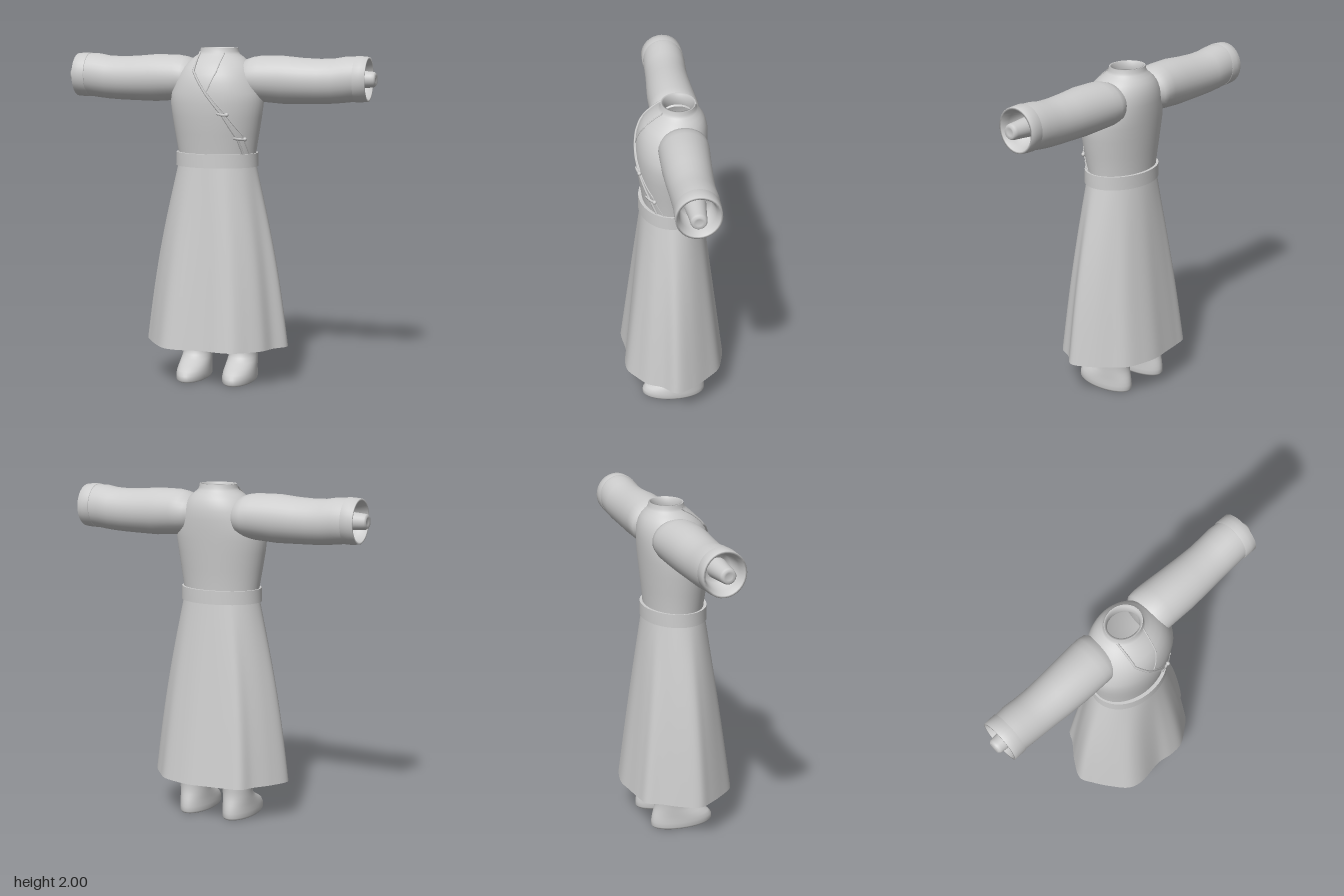
import * as THREE from 'three';

const cloth = new THREE.MeshStandardMaterial({ color: 0xcccccc, side: THREE.DoubleSide });
cloth.name = 'plain grey';

// Joins closed rings of points into one smooth skin
function loft(name, rings) {
  const n = rings[0].length, pos = [], index = [];
  rings.forEach(r => r.forEach(p => pos.push(p.x, p.y, p.z)));
  for (let i = 0; i < rings.length - 1; i++) {
    for (let j = 0; j < n; j++) {
      const k = (j + 1) % n, a = i * n, b = a + n;
      index.push(a + j, a + k, b + j, a + k, b + k, b + j);
    }
  }
  const geo = new THREE.BufferGeometry();
  geo.setAttribute('position', new THREE.Float32BufferAttribute(pos, 3));
  geo.setIndex(index);
  geo.computeVertexNormals();
  const mesh = new THREE.Mesh(geo, cloth);
  mesh.name = name;
  return mesh;
}

// Ellipse through four extremes, as [u, v] pairs
function oval(u0, u1, v0, v1, n = 48) {
  return Array.from({ length: n }, (_, j) => {
    const a = j / n * Math.PI * 2;
    return [(u0 + u1) / 2 + (u1 - u0) / 2 * Math.sin(a), (v0 + v1) / 2 + (v1 - v0) / 2 * Math.cos(a)];
  });
}

// Level ring: height, half width, front z, back z
const levelRing = ([y, rx, zf, zb], cx = 0) =>
  oval(cx - rx, cx + rx, zb, zf).map(([x, z]) => new THREE.Vector3(x, y, z));

// Upright ring across an arm: x, top y, bottom y, front z, back z
const armRing = ([x, yt, yb, zf, zb], side) =>
  oval(zb, zf, yb, yt, 32).map(([z, y]) => new THREE.Vector3(x * side, y, z));

const torsoRows = [
  [1.33, 0.235, 0.17, -0.165], [1.40, 0.24, 0.177, -0.167], [1.5, 0.257, 0.192, -0.177],
  [1.6, 0.273, 0.205, -0.187], [1.68, 0.283, 0.21, -0.195], [1.74, 0.277, 0.208, -0.2],
  [1.8, 0.255, 0.2, -0.204], [1.85, 0.235, 0.183, -0.203], [1.89, 0.208, 0.158, -0.194],
  [1.92, 0.18, 0.127, -0.181], [1.945, 0.15, 0.1, -0.163], [1.965, 0.122, 0.076, -0.147],
  [1.98, 0.115, 0.067, -0.14], [2.0, 0.112, 0.062, -0.136],
];
const neckLining = [[2.0, 0.098, 0.05, -0.126], [1.96, 0.092, 0.046, -0.121], [1.93, 0.1, 0.05, -0.125]];

// Front surface of the torso at x, y
function torsoFront(x, y) {
  const i = Math.max(1, torsoRows.findIndex(r => r[0] >= y));
  const a = torsoRows[i - 1], b = torsoRows[i], t = (y - a[0]) / (b[0] - a[0]);
  const [rx, zf, zb] = [1, 2, 3].map(k => a[k] + (b[k] - a[k]) * t);
  return (zf + zb) / 2 + (zf - zb) / 2 * Math.sqrt(Math.max(0, 1 - (x / rx) ** 2));
}

// Cord laid over the chest along x, y points
function cord(name, pts, radius, lift) {
  const path = [];
  for (let i = 0; i < pts.length - 1; i++) {
    for (let s = 0; s < 8; s++) {
      const x = THREE.MathUtils.lerp(pts[i][0], pts[i + 1][0], s / 8);
      const y = THREE.MathUtils.lerp(pts[i][1], pts[i + 1][1], s / 8);
      path.push(new THREE.Vector3(x, y, torsoFront(x, y) + lift));
    }
  }
  const geo = new THREE.TubeGeometry(new THREE.CatmullRomCurve3(path), path.length * 2, radius, 6);
  const mesh = new THREE.Mesh(geo, cloth);
  mesh.name = name;
  return mesh;
}

// Skirt spreading from a waist oval to a wavy hem
function makeSkirt() {
  const hem = [
    [0, 0.29], [0.1, 0.305], [0.19, 0.298], [0.27, 0.245], [0.34, 0.185], [0.38, 0.1], [0.445, 0.02],
    [0.4, -0.09], [0.32, -0.19], [0.25, -0.26], [0.15, -0.295], [0.05, -0.312], [-0.06, -0.3],
    [-0.18, -0.285], [-0.27, -0.265], [-0.315, -0.19], [-0.39, -0.09], [-0.44, 0.02], [-0.4, 0.1],
    [-0.33, 0.2], [-0.25, 0.285], [-0.17, 0.308],
  ].map(([x, z]) => new THREE.Vector3(x, 0, z));
  const edge = new THREE.CatmullRomCurve3(hem, true).getPoints(132).slice(0, -1);
  const rings = [];
  for (let i = 0; i <= 14; i++) {
    const t = i / 14, tx = t + 0.1 * Math.sin(Math.PI * t);
    rings.push(edge.map(p => {
      const a = Math.atan2(p.x / 0.44, p.z / 0.31);
      return new THREE.Vector3(
        THREE.MathUtils.lerp(0.236 * Math.sin(a), p.x, tx),
        1.32 - 1.09 * t,
        THREE.MathUtils.lerp(0.005 + 0.18 * Math.cos(a), p.z, t));
    }));
  }
  return loft('skirt', rings);
}

// Sleeve, turned-in cuff and wrist for one side
function makeArm(side) {
  const arm = new THREE.Group();
  arm.name = side > 0 ? 'leftArm' : 'rightArm';
  const add = (name, rows) => arm.add(loft(name, rows.map(r => armRing(r, side))));
  add('sleeve', [
    [0.13, 1.90, 1.73, 0.06, -0.15], [0.17, 1.935, 1.70, 0.09, -0.183], [0.21, 1.948, 1.69, 0.1, -0.188],
    [0.26, 1.956, 1.685, 0.1, -0.186], [0.4, 1.957, 1.675, 0.1, -0.176], [0.52, 1.946, 1.677, 0.093, -0.17],
    [0.62, 1.942, 1.679, 0.086, -0.166], [0.7, 1.945, 1.683, 0.083, -0.168], [0.77, 1.957, 1.69, 0.082, -0.17],
    [0.835, 1.957, 1.698, 0.08, -0.163],
  ]);
  add('cuff', [
    [0.83, 1.955, 1.70, 0.08, -0.162], [0.831, 1.962, 1.694, 0.086, -0.169], [0.87, 1.96, 1.695, 0.086, -0.168],
    [0.905, 1.957, 1.698, 0.086, -0.166], [0.905, 1.945, 1.71, 0.074, -0.154], [0.86, 1.93, 1.725, 0.06, -0.14],
    [0.78, 1.91, 1.745, 0.045, -0.12], [0.775, 1.84, 1.82, -0.025, -0.045],
  ]);
  add('wrist', [[0.77, 0.06], [0.87, 0.05], [0.925, 0.046], [0.94, 0.043], [0.95, 0.034], [0.945, 0.02], [0.945, 0]]
    .map(([x, r]) => [x, 1.827 + r, 1.827 - r, -0.035 + r, -0.035 - r]));
  return arm;
}

// Boot with its leg for one side
function makeLeg(side) {
  const rows = [
    [0, 0.001, 0.01, 0.005], [0, 0.09, 0.19, -0.18], [0.012, 0.096, 0.202, -0.188], [0.04, 0.096, 0.2, -0.188],
    [0.065, 0.094, 0.18, -0.184], [0.09, 0.092, 0.135, -0.178], [0.115, 0.09, 0.085, -0.17],
    [0.14, 0.088, 0.05, -0.165], [0.17, 0.088, 0.037, -0.163], [0.21, 0.092, 0.037, -0.166],
    [0.26, 0.096, 0.042, -0.168], [0.4, 0.094, 0.045, -0.16], [0.8, 0.1, 0.07, -0.13],
  ];
  return loft(side > 0 ? 'leftBoot' : 'rightBoot', rows.map(r => levelRing(r, 0.146 * side)));
}

export function createModel() {
  const model = new THREE.Group();
  model.name = 'longRobe';
  model.add(loft('torso', torsoRows.map(r => levelRing(r))));
  model.add(loft('collarLining', [torsoRows.at(-1), ...neckLining].map(r => levelRing(r))));
  model.add(makeSkirt());

  // Belt split into bands so its rims stay sharp
  const belt = new THREE.Group();
  belt.name = 'belt';
  const outer = [[1.305, 0.251, 0.198, -0.185], [1.385, 0.249, 0.196, -0.184]];
  const inner = [[1.305, 0.232, 0.172, -0.162], [1.385, 0.232, 0.168, -0.16]];
  belt.add(loft('beltBand', outer.map(r => levelRing(r))));
  [0, 1].forEach(i => belt.add(loft('beltRim', [outer[i], inner[i]].map(r => levelRing(r)))));
  model.add(belt);

  // Crossed front opening with knotted fasteners
  model.add(cord('overlapTrim', [[-0.1, 1.975], [-0.096, 1.87], [-0.005, 1.74], [0.09, 1.62], [0.17, 1.475], [0.195, 1.38], [0.195, 1.36]], 0.007, 0.004));
  model.add(cord('innerTrim', [[0.062, 1.975], [0.048, 1.87], [0, 1.755], [0.1, 1.635], [0.195, 1.5], [0.22, 1.385], [0.22, 1.36]], 0.004, 0.002));
  [[0.09, 1.62], [0.178, 1.475]].forEach(([x, y]) => {
    model.add(cord('fastener', [[x - 0.028, y + 0.008], [x, y], [x + 0.036, y - 0.003]], 0.008, 0.01));
    const knot = new THREE.Mesh(new THREE.SphereGeometry(0.012, 10, 8), cloth);
    knot.name = 'knot';
    knot.position.set(x + 0.03, y, torsoFront(x + 0.03, y) + 0.012);
    model.add(knot);
  });

  [1, -1].forEach(side => model.add(makeArm(side), makeLeg(side)));
  return model;
}
